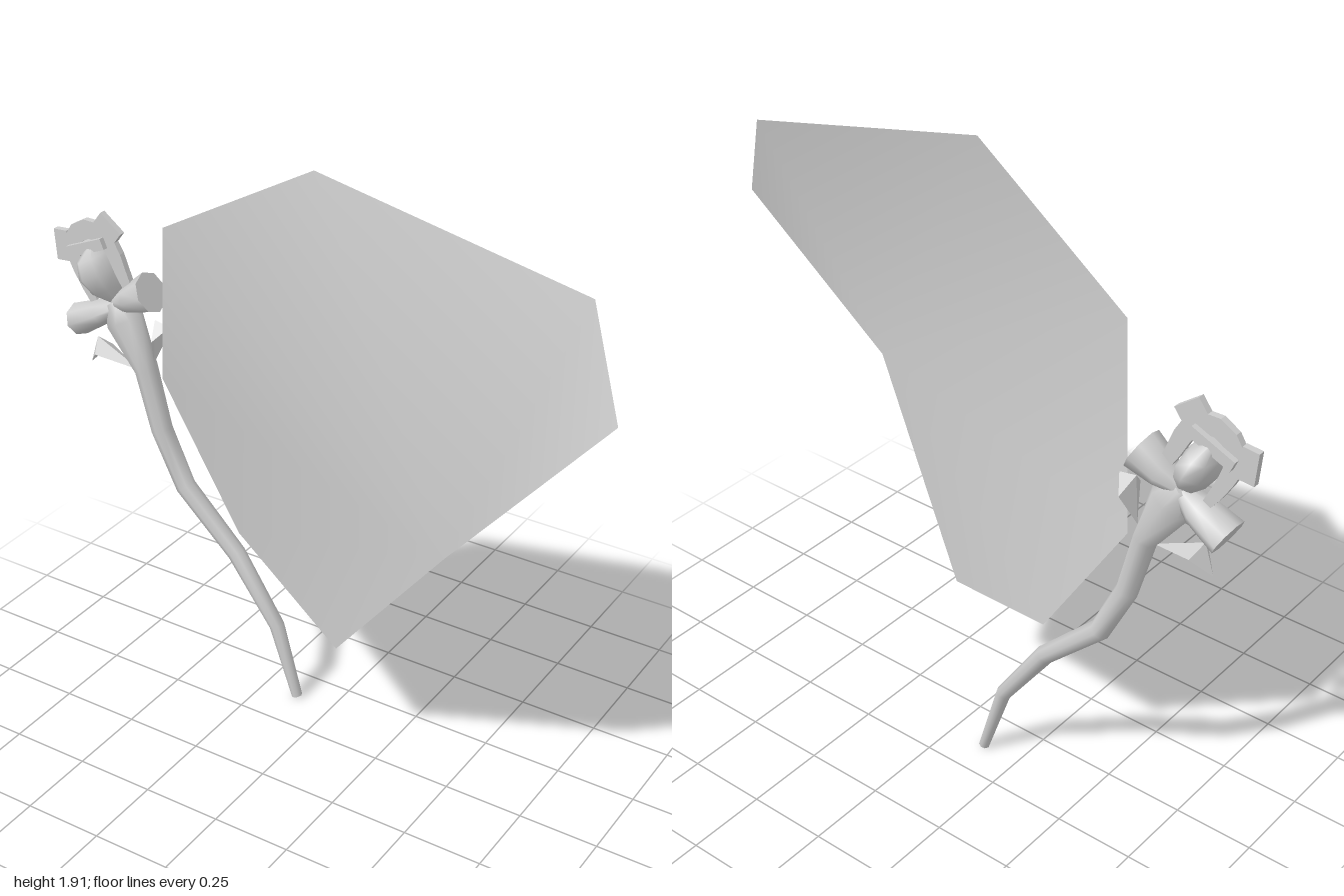
import * as THREE from 'three';

const Z = -0.135; // depth plane of the staff

const grey = new THREE.MeshStandardMaterial({ color: 0xcccccc, side: THREE.DoubleSide });
grey.name = 'plain grey';

function part(name, geometry) {
  const mesh = new THREE.Mesh(geometry, grey);
  mesh.name = name;
  return mesh;
}

function surface(points, index) {
  const g = new THREE.BufferGeometry();
  g.setAttribute('position', new THREE.Float32BufferAttribute(points.flat(), 3));
  g.setIndex(index);
  g.computeVertexNormals();
  return g;
}

// Sweep rings along a path in the staff plane; rows are [x, y, radius, depthRadius]
function loft(rows, sides = 8) {
  const points = [], index = [];
  rows.forEach(([x, y, r, rz = r], i) => {
    const a = rows[Math.max(i - 1, 0)], b = rows[Math.min(i + 1, rows.length - 1)];
    const t = new THREE.Vector2(b[0] - a[0], b[1] - a[1]).normalize();
    for (let k = 0; k < sides; k++) {
      const u = (k / sides) * Math.PI * 2, c = Math.cos(u) * r;
      points.push([x + t.y * c, y - t.x * c, Z + Math.sin(u) * rz]);
      if (i === 0) continue;
      const n = (k + 1) % sides, p = (i - 1) * sides, q = i * sides;
      index.push(p + k, q + k, p + n, p + n, q + k, q + n);
    }
  });
  // End caps with their own corners
  for (const [row, flip] of [[0, false], [rows.length - 1, true]]) {
    const start = points.length;
    for (let k = 0; k < sides; k++) points.push([...points[row * sides + k]]);
    for (let k = 1; k < sides - 1; k++) {
      index.push(start, start + (flip ? k + 1 : k), start + (flip ? k : k + 1));
    }
  }
  return surface(points, index);
}

// Thorn with a raised ridge and a wing on each side
function thorn(name, base, ridge, wing, tip, half) {
  const points = [[...base, Z], [...ridge, Z], [...wing, Z + half], [...wing, Z - half], [...tip, Z]];
  const g = surface(points, [0, 2, 1, 1, 2, 4, 0, 1, 3, 1, 4, 3]).toNonIndexed();
  g.computeVertexNormals();
  return part(name, g);
}

function plate(name, w, h, d, x, y, angle) {
  const mesh = part(name, new THREE.BoxGeometry(w, h, d));
  mesh.position.set(x, y, Z);
  mesh.rotation.z = angle;
  return mesh;
}

export function createModel() {
  const model = new THREE.Group();
  model.name = 'staffWithSail';

  // Broad folded sheet, fanned from its most forward corner
  const sheet = [
    [0.58, 0.97, 0.23], [1, 1.45, 0.12], [0.875, 1.74, 0.04], [0.06, 1.91, 0.06],
    [-0.505, 1.585, -0.02], [-0.615, 1.015, -0.135], [-0.33, 0.56, -0.12], [0.135, 0.4, 0.05],
  ];
  const fan = [];
  for (let i = 1; i < sheet.length - 1; i++) fan.push(0, i, i + 1);
  model.add(part('sail', surface(sheet, fan)));

  // Crooked handle widening to a funnel
  model.add(part('handle', loft([
    [-0.125, 0.006, 0.017], [-0.2, 0.25, 0.024], [-0.35, 0.47, 0.029], [-0.54, 0.655, 0.032],
    [-0.625, 0.835, 0.034], [-0.675, 1.03, 0.037], [-0.75, 1.18, 0.068, 0.05], [-0.785, 1.235, 0.03],
  ])));

  // Flared knots either side of the neck
  model.add(part('rightKnot', loft([
    [-0.765, 1.225, 0.02], [-0.83, 1.19, 0.04, 0.055], [-0.925, 1.14, 0.052, 0.065]])));
  model.add(part('leftKnot', loft([
    [-0.785, 1.225, 0.02], [-0.72, 1.26, 0.045, 0.055], [-0.645, 1.3, 0.065, 0.065]])));

  // Orb, deeper than it is wide
  model.add(part('orb', loft([
    [-0.785, 1.23, 0.008], [-0.805, 1.275, 0.045, 0.065], [-0.83, 1.325, 0.055, 0.095],
    [-0.85, 1.375, 0.042, 0.085], [-0.865, 1.41, 0.006]])));

  // Flat hoop curving around the orb
  const path = [[-0.86, 1.22], [-0.91, 1.31], [-0.935, 1.4], [-0.875, 1.455],
    [-0.8, 1.435], [-0.75, 1.34], [-0.715, 1.27]];
  const curve = new THREE.SplineCurve(path.map((p) => new THREE.Vector2(...p)));
  const outer = [], inner = [];
  for (let i = 0; i <= 12; i++) {
    const t = i / 12, p = curve.getPoint(t), d = curve.getTangent(t);
    const w = 0.014 + 0.017 * Math.sin(Math.PI * t);
    outer.push(new THREE.Vector2(p.x - d.y * w, p.y + d.x * w));
    inner.unshift(new THREE.Vector2(p.x + d.y * w, p.y - d.x * w));
  }
  const hoop = part('hoop', new THREE.ExtrudeGeometry(new THREE.Shape([...outer, ...inner]),
    { depth: 0.02, bevelEnabled: false }));
  hoop.position.z = Z - 0.01;
  model.add(hoop);

  // Tabs on the hoop and the bar across it
  model.add(plate('rightTab', 0.05, 0.1, 0.02, -0.972, 1.38, 0.08));
  model.add(plate('topTab', 0.09, 0.05, 0.02, -0.795, 1.475, -0.65));
  model.add(plate('crossBar', 0.145, 0.035, 0.055, -0.87, 1.4, 0.4));

  // Thorns below the funnel
  model.add(thorn('rightThorn', [-0.7, 1.02], [-0.86, 1.095], [-0.84, 1.055], [-0.89, 1], 0.045));
  model.add(thorn('leftThorn', [-0.645, 1.06], [-0.635, 1.21], [-0.615, 1.16], [-0.58, 1.2], 0.05));

  return model;
}
